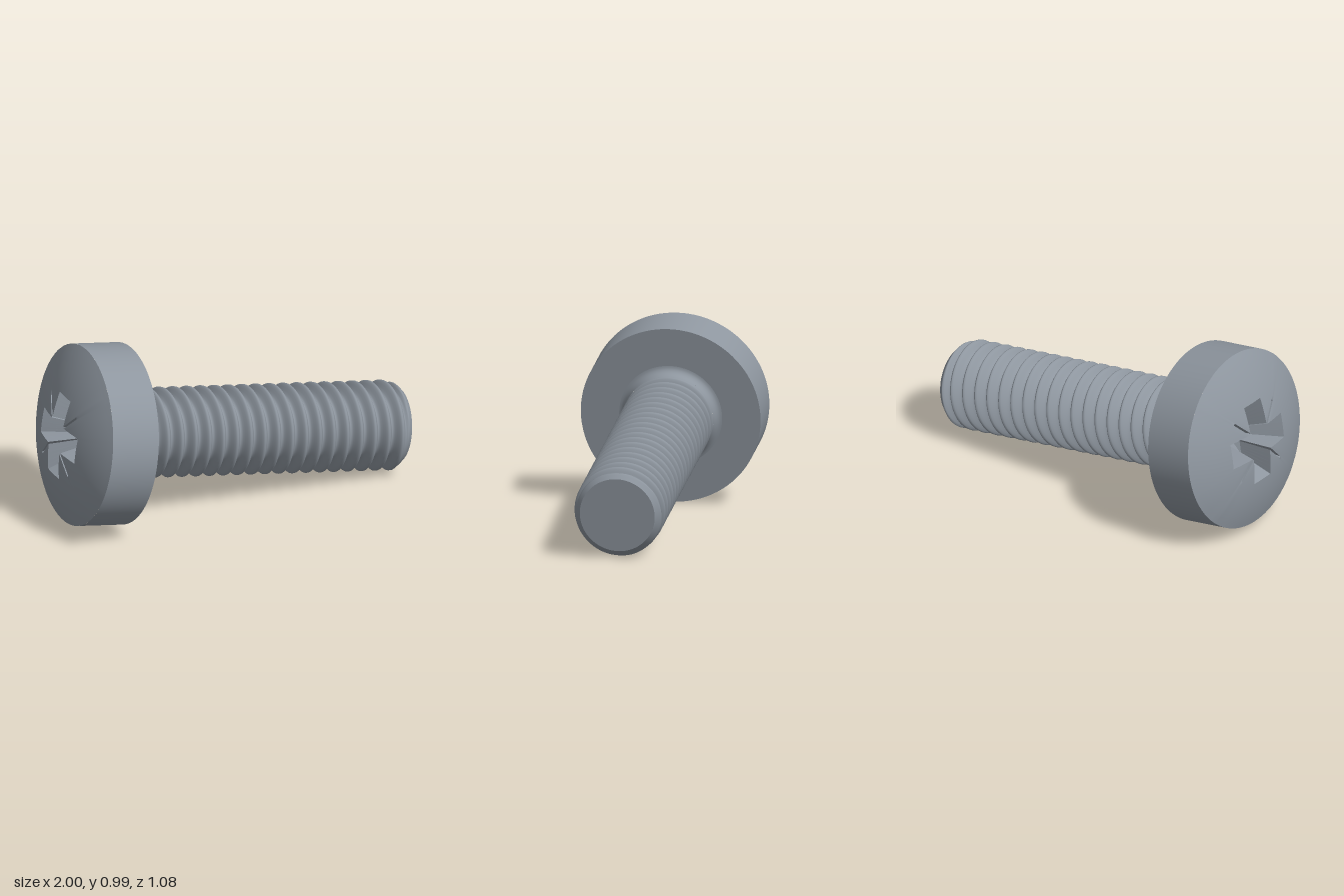
import * as THREE from 'three';
import { mergeVertices } from 'three/addons/utils/BufferGeometryUtils.js';

const HEAD_R = 0.48, RIM = -0.265, DOME_H = 0.113;
const PITCH = 0.08, CREST = 0.24, ROOT = 0.187, NECK_R = 0.237, NECK_Y = 0.05;
const TIP_Y = 1.6, TIP_R = 0.2;

// Surface through a grid of points; rows run along the outer profile, columns run round the axis.
function gridSurface(rows, cols, point, flat = false) {
  const pos = [], index = [];
  for (let i = 0; i <= rows; i++)
    for (let j = 0; j <= cols; j++) pos.push(...point(i, j));
  for (let i = 0; i < rows; i++)
    for (let j = 0; j < cols; j++) {
      const a = i * (cols + 1) + j, b = a + 1, c = a + cols + 1, d = c + 1;
      index.push(a, b, c, b, d, c);
    }
  let geo = new THREE.BufferGeometry();
  geo.setAttribute('position', new THREE.Float32BufferAttribute(pos, 3));
  geo.setIndex(index);
  geo = flat ? geo.toNonIndexed() : mergeVertices(geo, 1e-5);
  geo.computeVertexNormals();
  return geo;
}

// Height of the domed top at radius r
function domeY(r) {
  const R = (HEAD_R ** 2 + DOME_H ** 2) / (2 * DOME_H);
  return RIM - (Math.sqrt(R * R - r * r) - (R - DOME_H));
}

// Outline of the cross recess: four wide arms with a thin diagonal notch between each pair
function recessOutline() {
  const quarter = [[0.22, -0.07], [0.22, 0.07], [0.078, 0.07], [0.17, 0.162], [0.162, 0.17], [0.07, 0.078]];
  const steps = [10, 6, 1, 1, 1, 6];
  const corners = [];
  for (let q = 0; q < 4; q++)
    for (const [u, v] of quarter) {
      const a = q * Math.PI / 2, c = Math.cos(a), s = Math.sin(a);
      corners.push([u * s + v * c, u * c - v * s]);
    }
  const out = [];
  corners.forEach((p, k) => {
    const n = corners[(k + 1) % corners.length], count = steps[k % 6];
    for (let t = 0; t < count; t++)
      out.push([p[0] + (n[0] - p[0]) * t / count, p[1] + (n[1] - p[1]) * t / count]);
  });
  out.push(out[0]);
  return out;
}

// Shaft radius at height y and angle phi: neck, helical thread, chamfered tip
function shaftRadius(y, phi) {
  const turn = (y - 0.156) / PITCH * Math.PI * 2 - phi;
  const thread = ROOT + (CREST - ROOT) * (0.5 + 0.5 * Math.cos(turn));
  const start = THREE.MathUtils.smoothstep(y, 0.055, 0.1);
  const end = THREE.MathUtils.smoothstep(y, 1.545, 1.575);
  const cone = TIP_R + (TIP_Y - y) * 0.9;
  const r = THREE.MathUtils.lerp(NECK_R, thread, start);
  return Math.min(THREE.MathUtils.lerp(r, cone, end), cone);
}

export function createModel() {
  const steel = new THREE.MeshStandardMaterial({ color: 0x8e969f });
  steel.name = 'steel grey';
  const screw = new THREE.Group();
  screw.name = 'screw';
  const add = (name, geo, parent) => {
    const mesh = new THREE.Mesh(geo, steel);
    mesh.name = name;
    parent.add(mesh);
  };
  const lathe = (pts) => new THREE.LatheGeometry(pts.map(p => new THREE.Vector2(...p)), 96);

  // Head: domed top cut open by the recess
  const head = new THREE.Group();
  head.name = 'head';
  screw.add(head);
  const outline = recessOutline(), cols = outline.length - 1;
  add('domedTop', gridSurface(10, cols, (i, j) => {
    const [x, z] = outline[j], r0 = Math.hypot(x, z);
    const r = r0 + (HEAD_R - r0) * i / 10;
    return [x / r0 * r, domeY(r), z / r0 * r];
  }), head);

  // Recess: conical centre, tapered floor, sloping walls
  add('crossRecess', gridSurface(2, cols, (i, j) => {
    const [x, z] = outline[j], k = [0, 0.55, 1][i];
    return [x * k, [-0.16, -0.2, domeY(Math.hypot(x, z))][i], z * k];
  }, true), head);

  add('headSide', lathe([[HEAD_R, RIM], [HEAD_R, 0]]), head);
  add('headUnderside', lathe([[HEAD_R, 0], [0.275, 0]]), head);

  // Fillet where the shaft meets the head
  const fillet = [];
  for (let i = 0; i <= 6; i++) {
    const a = i / 6 * Math.PI / 2;
    fillet.push([0.275 - (0.275 - NECK_R) * Math.sin(a), NECK_Y * (1 - Math.cos(a))]);
  }
  add('neckFillet', lathe(fillet), screw);

  // Threaded shaft: grid rows follow the helix
  const seg = 72, perTurn = 12, step = PITCH / perTurn;
  const rows = Math.ceil(TIP_Y / step) + perTurn;
  add('threadedShaft', gridSurface(rows, seg, (i, j) => {
    const phi = j / seg * Math.PI * 2;
    const y = THREE.MathUtils.clamp((i - perTurn + j / seg * perTurn) * step, NECK_Y, TIP_Y);
    const r = shaftRadius(y, phi);
    return [r * Math.sin(phi), y, r * Math.cos(phi)];
  }), screw);

  // Flat end of the shaft
  add('tipFace', lathe([[TIP_R, TIP_Y], [0, TIP_Y]]), screw);

  // Lay the screw on its head rim and tip
  const axis = new THREE.Vector3(0.966, -0.151, 0.208).normalize();
  const up = new THREE.Vector3(0, 1, 0).addScaledVector(axis, -axis.y).normalize();
  const side = new THREE.Vector3().crossVectors(axis, up);
  screw.quaternion.setFromRotationMatrix(new THREE.Matrix4().makeBasis(side, axis, up));
  screw.position.set(-0.6, 0.477, -0.016);

  const model = new THREE.Group();
  model.name = 'machineScrew';
  model.add(screw);
  return model;
}
